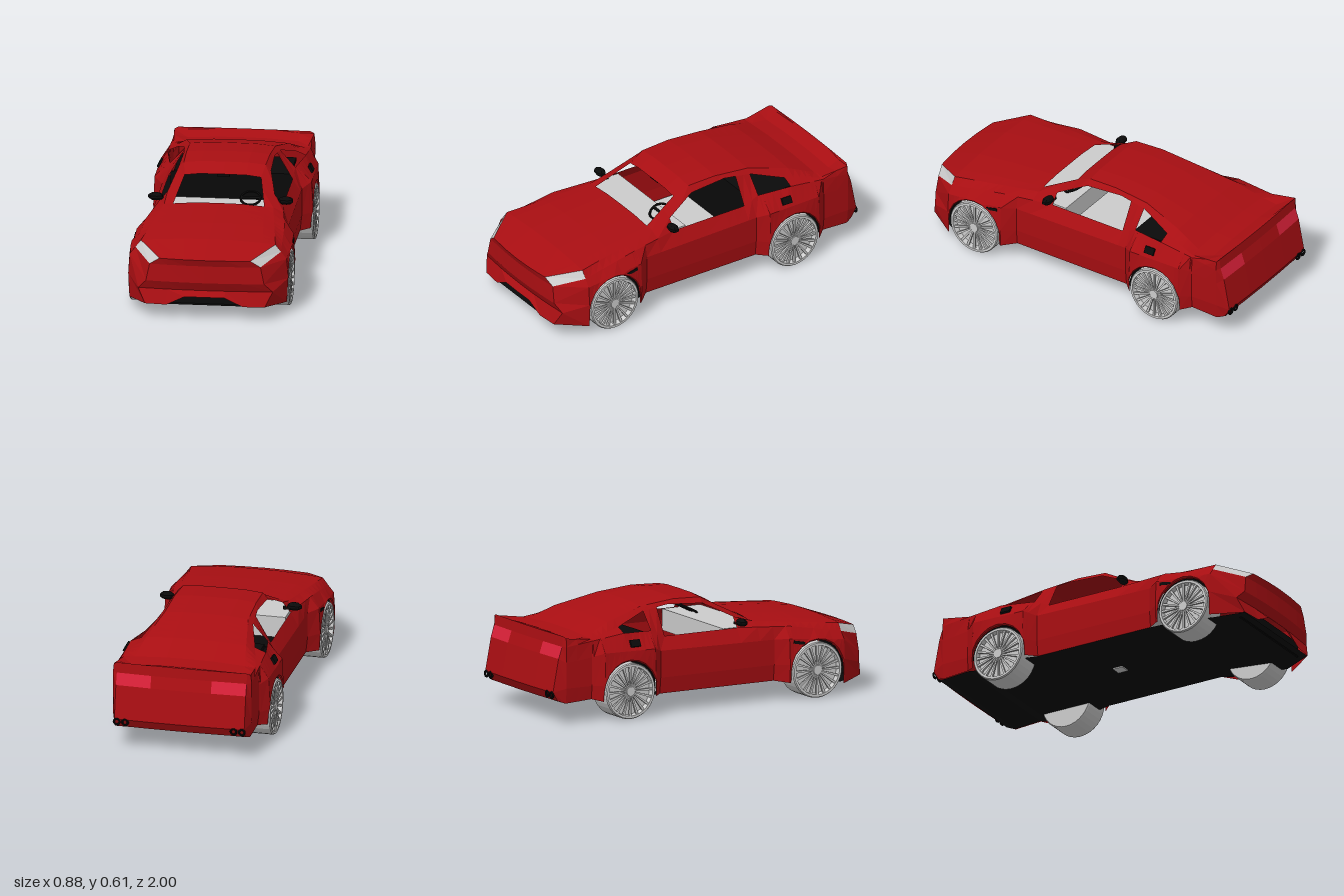
import * as THREE from 'three';

const mat = (color) => new THREE.MeshStandardMaterial({ color, flatShading: true, side: THREE.DoubleSide });
const RED = mat(0xa80e12), BLACK = mat(0x0a0a0a), GREY = mat(0xcccccc), LAMP = mat(0xd82038);

// Curves along the car, keyed by z from front to back
const FLANK = [[.815, 1, .065, .31], [.47, 1, .1, .345], [.4, 0, .11, .34], [-.32, 0, .11, .35],
  [-.38, 1, .11, .375], [-.7, 1, .11, .38], [-.76, .15, .125, .36], [-.92, .1, .115, .34]]; // flare, sill y, shoulder y
const BELT = [[.815, .4, .35], [.5, .385, .405], [.19, .34, .42], [-.27, .34, .42], [-.36, .345, .46], [-.55, .38, .47], [-.92, .39, .43]]; // x, y
const GLASS = [[.815, .37, .39], [.31, .3, .44], [.19, .295, .475], [.02, .255, .56], [-.2, .25, .575],
  [-.36, .262, .555], [-.55, .32, .495], [-.75, .37, .455], [-.92, .385, .478]]; // x, y
const ROOF = [[.815, .3], [.31, .25], [.11, .21], [.02, .225], [-.36, .235], [-.75, .31], [-.92, .3]]; // x
const CROWN = [[.815, .407], [.6, .432], [.31, .454], [.11, .556], [.02, .6], [-.15, .607],
  [-.36, .588], [-.6, .53], [-.75, .47], [-.85, .463], [-.92, .487]]; // y
const AXLES = [.645, -.54], ARCH = .165, HUB = .157;

// Values of a curve at z
function at(keys, z) {
  let i = 0;
  while (i < keys.length - 2 && z < keys[i + 1][0]) i++;
  const [a, b] = [keys[i], keys[i + 1]];
  const t = THREE.MathUtils.clamp((a[0] - z) / (a[0] - b[0]), 0, 1);
  return a.slice(1).map((v, k) => THREE.MathUtils.lerp(v, b[k + 1], t));
}

// Half section from sill to roof centre, lifted over the wheels
function section(z) {
  const [flare, sill, shoulder] = at(FLANK, z), [top] = at(CROWN, z);
  let arch = 0;
  for (const c of AXLES) {
    const d = Math.abs(z - c);
    if (d < ARCH + 1e-6) arch = HUB + Math.sqrt(Math.max(0, ARCH * ARCH - d * d));
  }
  return [
    [.375 + .058 * flare, Math.max(sill, arch)],
    [.385 + .055 * flare, Math.max(.2, arch + .008)],
    [.385 + .047 * flare, Math.max(shoulder, arch + .016)],
    at(BELT, z), at(GLASS, z), [at(ROOF, z)[0], top - .01], [.13, top], [0, top + .001],
  ].map(([x, y]) => [x, y, z]);
}

const flip = ([x, y, z]) => [-x, y, z];
// Half row from the side to the centre line, mirrored into a whole row
const whole = (half) => [...half, ...half.slice(0, -1).reverse().map(flip)];

// Surface through rows of points, keeping only the cells that pass the test
function grid(rows, keep = () => true) {
  const pos = [];
  for (let i = 0; i < rows.length - 1; i++)
    for (let j = 0; j < rows[0].length - 1; j++) {
      if (!keep(i, j)) continue;
      const a = rows[i][j], b = rows[i + 1][j], c = rows[i + 1][j + 1], d = rows[i][j + 1];
      pos.push(...a, ...b, ...c, ...a, ...c, ...d);
    }
  const g = new THREE.BufferGeometry();
  g.setAttribute('position', new THREE.Float32BufferAttribute(pos, 3));
  g.computeVertexNormals();
  return g;
}

export function createModel() {
  const car = new THREE.Group();
  car.name = 'car';
  const add = (name, geo, material, x = 0, y = 0, z = 0, parent = car) => {
    const m = new THREE.Mesh(geo, material);
    m.name = name;
    m.position.set(x, y, z);
    parent.add(m);
    return m;
  };
  const box = (name, w, h, d, material, x, y, z) => add(name, new THREE.BoxGeometry(w, h, d), material, x, y, z);

  // Body shell with window and windscreen openings
  const stations = new Set([FLANK, BELT, GLASS, ROOF, CROWN].flat().map((k) => k[0]));
  for (const c of AXLES) {
    for (let k = 0; k <= 10; k++) stations.add(c + ARCH * Math.cos(k * Math.PI / 10));
    stations.add(c + ARCH + .001).add(c - ARCH - .001);
  }
  const zs = [...stations].sort((a, b) => b - a);
  const within = (z, lo, hi) => z > lo && z < hi;
  add('bodyShell', grid(zs.map((z) => whole(section(z))), (i, j) => {
    const z = (zs[i] + zs[i + 1]) / 2, k = Math.min(j, 13 - j);
    if (k === 3) return !within(z, -.27, .19) && !within(z, -.55, -.36);
    return k < 5 || !within(z, .11, .31);
  }), RED);

  // Nose: rows from bonnet edge to lip, [corner x, y, z], curving back to the corners
  const front = section(.815);
  const noseRows = [[.25, .343, 1], [.305, .305, .985], [.325, .21, .99], [.37, .16, .965], [.33, .08, .995]];
  const nose = [[front[4], ...front.slice(4)], ...noseRows.map(([corner, y, z], i) => [
    front[4 - i],
    ...[corner, .21, .11, 0].map((x) => [x, y + (i === 4 && x < .2 ? .05 : 0), z - .018 * (x / corner) ** 2]),
  ])].map((row) => whole(row.map(flip)));
  const headlight = (i, j) => i === 1 && (j === 0 || j === 7);
  add('nose', grid(nose, (i, j) => !headlight(i, j)), RED);
  add('headlights', grid(nose, headlight), GREY);
  box('lowerIntake', .6, .085, .01, BLACK, 0, .112, .93);

  // Tail: rows from spoiler edge to valance, [y, z]
  const back = section(-.92);
  const tailRows = [[.487, -.935], [.43, -.942], [.365, -.964], [.18, -1], [.13, -.97]];
  const tail = tailRows.map(([y, z], i) => whole([
    back[4 - i], ...[.365, .17, 0].map((x) => [x, y, z + .06 * x * x]),
  ]));
  const tailLight = (i, j) => i === 1 && (j === 1 || j === 4);
  add('tail', grid(tail, (i, j) => !tailLight(i, j)), RED);
  add('tailLights', grid(tail, tailLight), LAMP);
  add('spoilerTop', grid([whole(back.slice(4)), tail[0]]), RED);

  // Underside
  const edge = [[.33, .08, .975], ...FLANK.map(([z, flare, y]) => [.375 + .015 * flare, y, z]), [.36, .13, -.965]];
  add('underside', grid(edge.map((p) => [flip(p), p])), BLACK);
  box('drainPlate', .06, .01, .06, GREY, 0, .108, -.02);

  // Cabin
  box('cabinFloor', .72, .02, .72, GREY, 0, .13, 0);
  box('dashboard', .66, .12, .24, GREY, 0, .36, .23);
  box('rearBulkhead', .68, .28, .02, BLACK, 0, .28, -.34);
  box('parcelShelf', .64, .02, .3, BLACK, 0, .42, -.48);
  const steering = add('steeringWheel', new THREE.TorusGeometry(.055, .007, 5, 14), BLACK, .16, .445, .17);
  steering.rotation.x = -1.1;
  add('steeringSpoke', new THREE.BoxGeometry(.1, .014, .01), BLACK, 0, 0, 0, steering);
  box('rearViewMirror', .07, .022, .012, BLACK, 0, .548, .09);

  // Wheel profile: closed back, tread, lip and recessed dish
  const profile = [[0, -.078], [.15, -.078], [.155, -.07], [.155, .07], [.15, .077], [.137, .077], [.134, .045], [0, .045]];
  const tyre = new THREE.LatheGeometry(profile.map(([x, y]) => new THREE.Vector2(x, y)), 32);
  const spoke = new THREE.CylinderGeometry(.009, .005, .112, 4).rotateY(Math.PI / 4).translate(0, .081, 0);
  const hub = new THREE.CylinderGeometry(.026, .03, .03, 16);
  const liner = new THREE.CylinderGeometry(ARCH, ARCH, .16, 16, 1, true, 0, Math.PI);

  for (const s of [1, -1]) {
    for (const z of AXLES) {
      const wheel = new THREE.Group();
      wheel.name = (z > 0 ? 'front' : 'rear') + (s > 0 ? 'LeftWheel' : 'RightWheel');
      wheel.position.set(s * .363, .155, z);
      wheel.rotation.z = -s * Math.PI / 2;
      add('tyre', tyre, GREY, 0, 0, 0, wheel);
      add('hub', hub, GREY, 0, .06, 0, wheel);
      for (let k = 0; k < 20; k++)
        add('spoke', spoke, GREY, 0, .066, 0, wheel).rotation.set(Math.PI / 2, 0, k * Math.PI / 10);
      car.add(wheel);
      // Upper half of the wheel well
      add('wheelArchLiner', liner, BLACK, s * .345, HUB, z).rotation.z = Math.PI / 2;
    }
    // Door mirror and its stalk
    add('doorMirror', new THREE.SphereGeometry(1, 7, 5), BLACK, s * .358, .45, .21).scale.set(.045, .023, .028);
    box('mirrorStalk', .06, .014, .02, BLACK, s * .325, .44, .205);
    // Fender vents
    box('frontFenderVent', .012, .016, .07, BLACK, s * .432, .318, .53).rotation.x = .2;
    box('rearFenderVent', .012, .04, .06, BLACK, s * .416, .415, -.5).rotation.z = s * .5;
    // Twin exhausts
    for (const x of [.305, .352])
      add('exhaust', new THREE.TorusGeometry(.016, .006, 6, 12), BLACK, s * x, .165, -.992);
  }
  return car;
}
